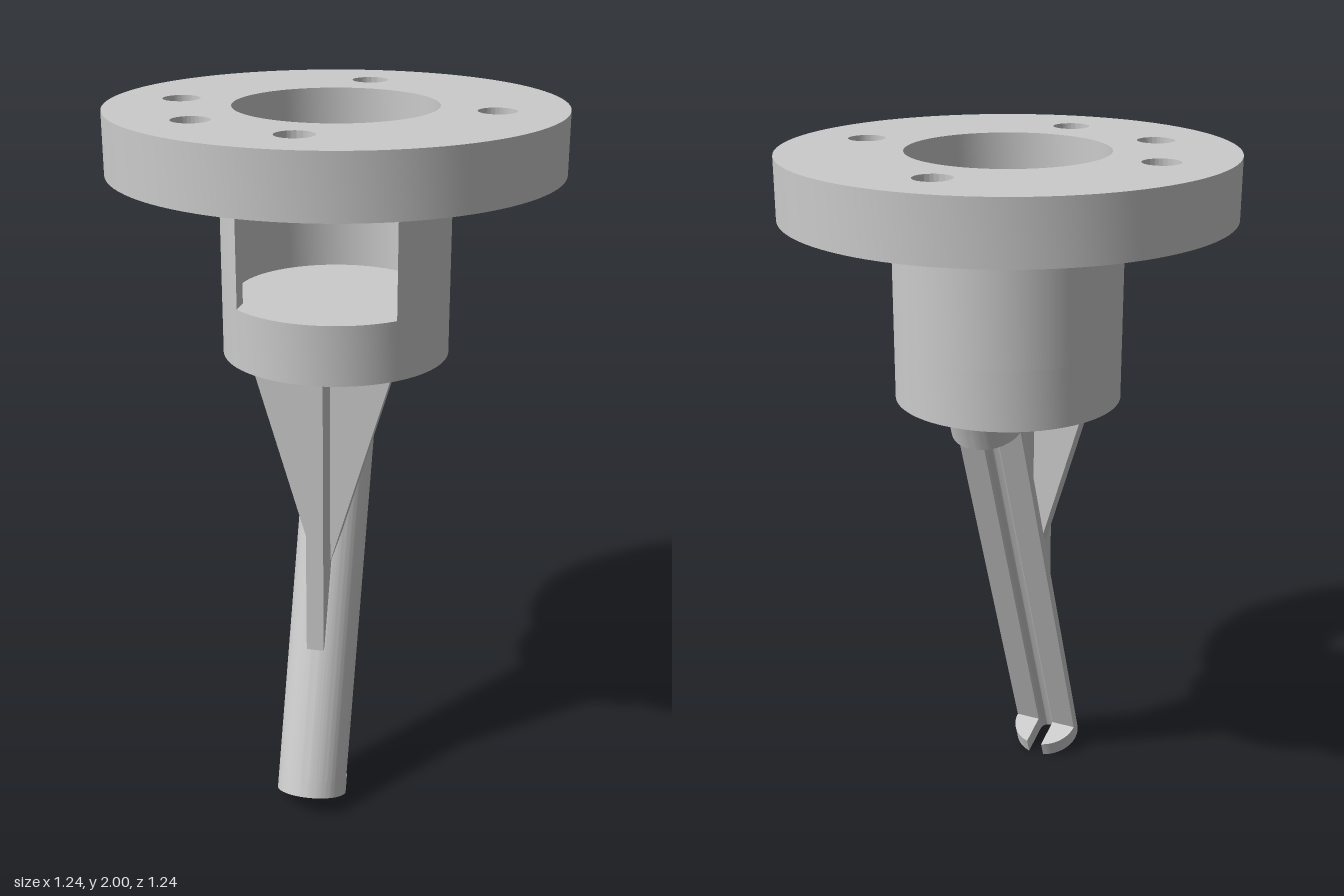
import * as THREE from 'three';
import { toCreasedNormals } from 'three/addons/utils/BufferGeometryUtils.js';

const PI = Math.PI;
const material = new THREE.MeshStandardMaterial({ color: 0xcccccc });

function addMesh(parent, name, geometry) {
  const mesh = new THREE.Mesh(toCreasedNormals(geometry, 0.5), material);
  mesh.name = name;
  parent.add(mesh);
  return mesh;
}

const extrude = (shape, depth) =>
  new THREE.ExtrudeGeometry(shape, { depth, bevelEnabled: false, curveSegments: 48 });

// Plan outline (shape y = -z) raised from y0 to y1
const raise = (shape, y0, y1) => extrude(shape, y1 - y0).rotateX(-PI / 2).translate(0, y0, 0);

const circle = (r, x = 0, y = 0) => new THREE.Shape().absarc(x, y, r, 0, PI * 2, false);

export function createModel() {
  const model = new THREE.Group();
  model.name = 'flangedArm';

  // Flange with centre bore and five bolt holes
  const flange = circle(0.622);
  flange.holes.push(circle(0.279));
  for (const deg of [0, 90, 180, 225, 270]) {
    const a = deg * PI / 180;
    flange.holes.push(circle(0.052, 0.433 * Math.cos(a), 0.433 * Math.sin(a)));
  }
  addMesh(model, 'flange', raise(flange, 1.83, 2));

  // Hub: solid floor, and a wall with a window at the front
  const outer = 0.318, inner = 0.279, halfGap = 0.22;
  addMesh(model, 'hubFloor', raise(circle(outer), 1.315, 1.483));
  const ao = Math.asin(halfGap / outer), ai = Math.asin(halfGap / inner);
  const wall = new THREE.Shape();
  wall.absarc(0, 0, outer, -PI / 2 + ao, PI * 1.5 - ao, false);
  wall.absarc(0, 0, inner, PI * 1.5 - ai, -PI / 2 + ai, true);
  wall.closePath();
  addMesh(model, 'hubWall', raise(wall, 1.483, 1.83));

  // Tilted arm, local y along its axis
  const arm = new THREE.Group();
  arm.name = 'arm';
  arm.position.set(0, 0.0375, 0.31);
  arm.rotation.x = -20 * PI / 180;
  model.add(arm);
  const r = 0.101, g = 0.025;

  // Half-round bar with a groove along its flat back
  const bar = new THREE.Shape();
  bar.absarc(0, 0, r, PI, PI * 2, false);
  bar.absarc(0, 0, g, 0, -PI, true);
  bar.closePath();
  addMesh(arm, 'armBar', raise(bar, 0.05, 1.3));

  // Foot disc with a round-ended slot open to the back
  const s = Math.asin(g / r);
  const foot = new THREE.Shape();
  foot.absarc(0, 0, r, PI / 2 + s, PI * 2.5 - s, false);
  foot.absarc(0, 0, g, 0, -PI, true);
  foot.closePath();
  addMesh(arm, 'armFoot', raise(foot, 0, 0.05));
  addMesh(arm, 'armHead', raise(circle(r), 1.3, 1.44));

  // Front rib, outlined as (z, y) and extruded across x
  const rib = new THREE.Shape([[0.26, 1.35], [0.26, 0.482], [0.18, 0.55], [-0.11, 1.35]]
    .map(([z, y]) => new THREE.Vector2(-z, y)));
  addMesh(model, 'frontRib', extrude(rib, 0.05).translate(0, 0, -0.025).rotateY(PI / 2));

  // Tapered cross rib
  const cross = new THREE.Shape([[0.21, 1.35], [-0.21, 1.35], [0, 0.645]]
    .map(([x, y]) => new THREE.Vector2(x, y)));
  addMesh(model, 'crossRib', extrude(cross, 0.05).translate(0, 0, 0.126));

  return model;
}
